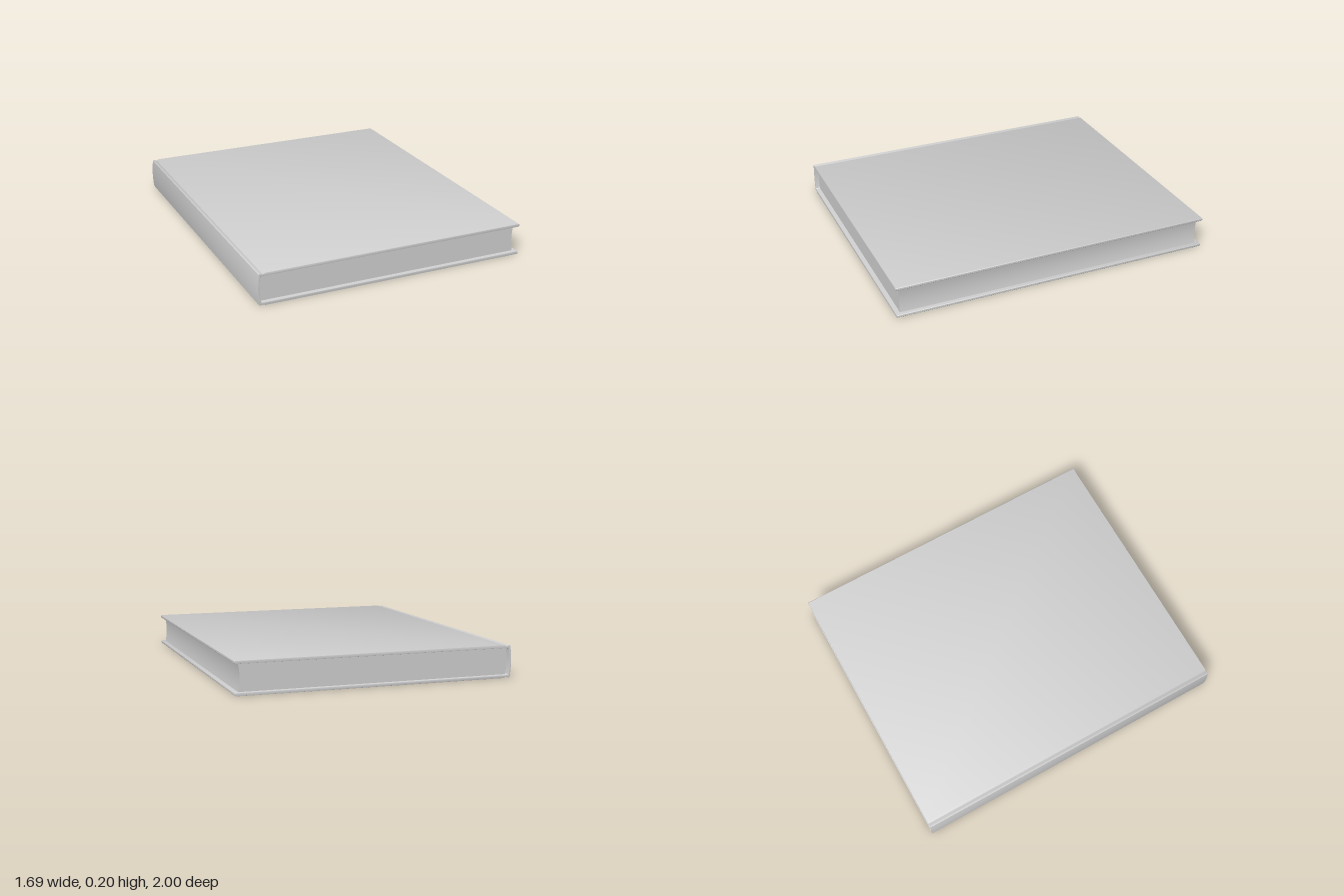
import * as THREE from 'three';
import { toCreasedNormals } from 'three/addons/utils/BufferGeometryUtils.js';

const MID = 0.099; // half the thickness of the closed book

// Mirrors an upper half outline (ending near the mid line) to the lower half
const mirrored = (half) => [...half, ...half.slice().reverse().map(([x, y]) => [x, -y])];

// Points of a shallow arc from y = h down to the mid line; bulge moves its middle in x
function halfArc(x, h, bulge, steps = 8) {
  return Array.from({ length: steps }, (_, i) => {
    const t = 1 - (i + 0.5 * i / steps) / steps;
    return [x + bulge * (1 - t * t), h * t];
  });
}

function extrudeAlongZ(name, points, length, bevel, material) {
  const shape = new THREE.Shape(points.map(([x, y]) => new THREE.Vector2(x, y)));
  const geometry = new THREE.ExtrudeGeometry(shape, {
    depth: length - 2 * bevel,
    bevelEnabled: bevel > 0,
    bevelThickness: bevel,
    bevelSize: bevel,
    bevelOffset: -bevel,
    bevelSegments: 2,
  });
  geometry.translate(0, MID, -length / 2 + bevel);
  const mesh = new THREE.Mesh(toCreasedNormals(geometry, 0.6), material);
  mesh.name = name;
  return mesh;
}

export function createModel() {
  const book = new THREE.Group();
  book.name = 'book';
  const material = new THREE.MeshStandardMaterial({ color: 0xcccccc, side: THREE.DoubleSide });

  // Cover: two boards with rounded fore edges, hinge grooves and a rounded spine
  const outer = mirrored([
    [0.841, 0.099], [-0.802, 0.099], [-0.808, 0.096], [-0.815, 0.092], [-0.822, 0.094],
    [-0.829, 0.097], [-0.836, 0.097],
    ...halfArc(-0.841, 0.093, -0.007),
  ]);
  const inner = mirrored([
    [0.841, 0.081], [-0.824, 0.081],
    ...halfArc(-0.829, 0.076, -0.007),
  ]).reverse();
  const cover = [
    ...outer, [0.845, -0.095], [0.845, -0.085],
    ...inner, [0.845, 0.085], [0.845, 0.095],
  ];
  book.add(extrudeAlongZ('cover', cover, 2, 0.002, material));

  // Page block: hollow fore edge, rounded back against the spine
  const back = mirrored(halfArc(-0.823, 0.081, -0.009));
  const foreEdge = mirrored(halfArc(0.82, 0.081, -0.009)).reverse();
  book.add(extrudeAlongZ('pageBlock', [...back, ...foreEdge], 1.945, 0, material));

  return book;
}
